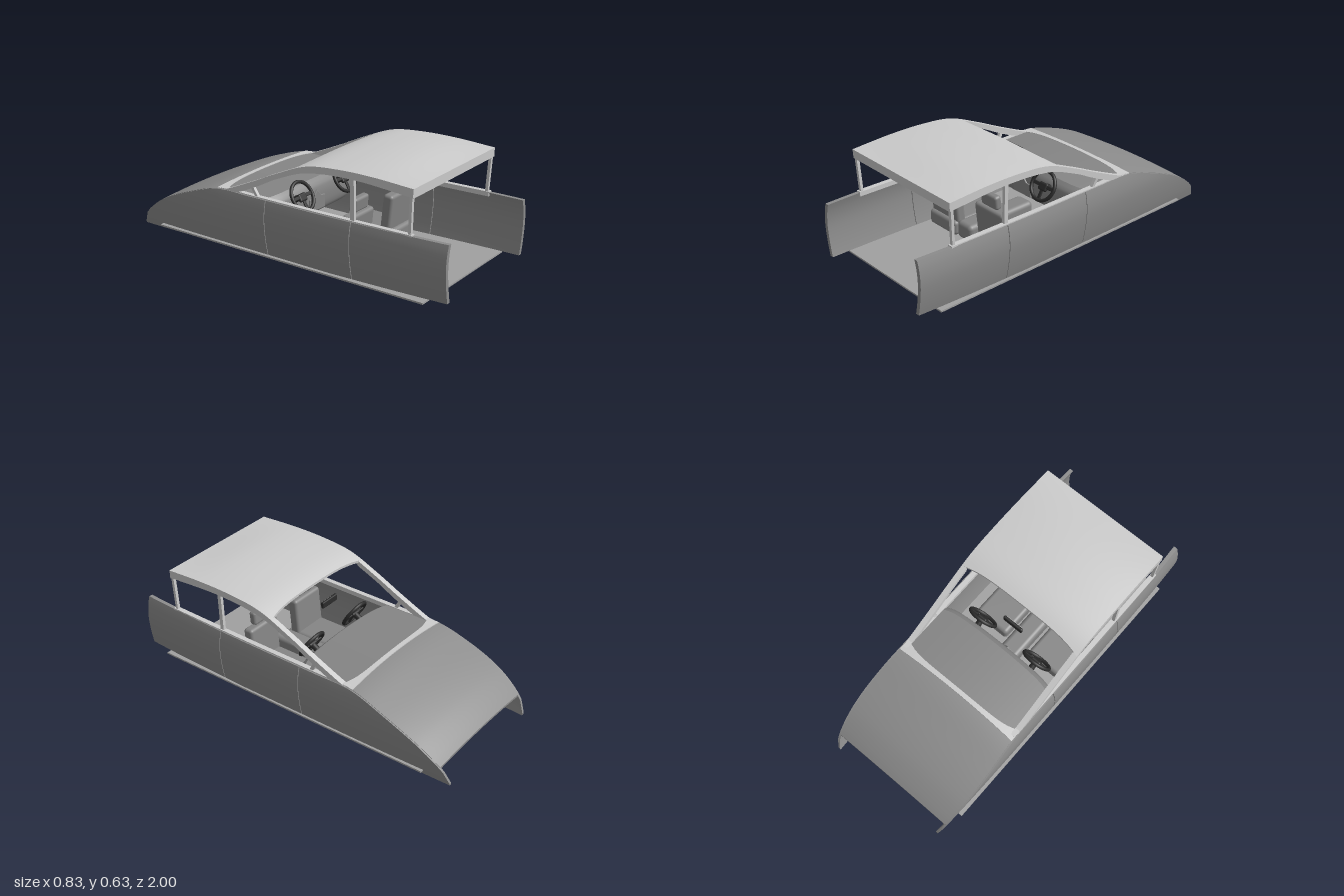
import * as THREE from 'three';
import { RoundedBoxGeometry } from 'three/addons/geometries/RoundedBoxGeometry.js';

const mat = (color) => new THREE.MeshStandardMaterial({ color, side: THREE.DoubleSide });
const light = mat(0xcccccc), body = mat(0x8c8c8c), soft = mat(0x858585), dark = mat(0x2c2c2c), floorMat = mat(0xa0a0a0);
const lerp = THREE.MathUtils.lerp;

// smooth curve y(t) through points sorted by t
function curve(pts) {
  const slope = (i) => {
    const a = pts[Math.max(i - 1, 0)], b = pts[Math.min(i + 1, pts.length - 1)];
    return (b[1] - a[1]) / (b[0] - a[0]);
  };
  return (t) => {
    let i = 0;
    while (i < pts.length - 2 && t > pts[i + 1][0]) i++;
    const [t0, y0] = pts[i], [t1, y1] = pts[i + 1], h = t1 - t0;
    const s = THREE.MathUtils.clamp((t - t0) / h, 0, 1), s2 = s * s, s3 = s2 * s;
    return (2 * s3 - 3 * s2 + 1) * y0 + (s3 - 2 * s2 + s) * h * slope(i)
      + (3 * s2 - 2 * s3) * y1 + (s3 - s2) * h * slope(i + 1);
  };
}

// box whose unit coordinates (u, v, w) are bent by a rule into a solid panel
function warp(name, material, nx, ny, nz, rule) {
  const g = new THREE.BoxGeometry(1, 1, 1, nx, ny, nz), p = g.attributes.position;
  for (let i = 0; i < p.count; i++) p.setXYZ(i, ...rule(p.getX(i) + 0.5, p.getY(i) + 0.5, p.getZ(i) + 0.5));
  g.computeVertexNormals();
  return named(new THREE.Mesh(g, material), name);
}
function named(o, name) { o.name = name; return o; }
function rounded(name, material, size, pos, r) {
  const m = named(new THREE.Mesh(new RoundedBoxGeometry(...size, 4, r), material), name);
  m.position.set(...pos);
  return m;
}

// body lines along z, and the bulge of the sides along y
const panelTop = curve([[-1, 0.015], [-0.985, 0.06], [-0.92, 0.128], [-0.8, 0.208], [-0.61, 0.288], [-0.42, 0.343], [-0.2, 0.347], [0.3, 0.35], [1, 0.362]]);
const bulge = curve([[0, 0.374], [0.08, 0.394], [0.17, 0.409], [0.25, 0.414], [0.32, 0.406], [0.37, 0.392]]);
const roofEdge = curve([[-0.42, 0.338], [-0.38, 0.345], [-0.18, 0.432], [-0.02, 0.508], [0.17, 0.585], [0.36, 0.609], [0.57, 0.613], [0.81, 0.602]]);
const frameLow = curve([[-0.42, 0.328], [-0.29, 0.35], [-0.15, 0.411], [-0.02, 0.478], [0.17, 0.55], [0.45, 0.575], [0.81, 0.557]]);
const crown = curve([[-0.42, 0.018], [0.1, 0.013], [0.55, 0.017], [0.81, 0]]);
const sideX = (y, z) => bulge(y) - 0.012 * z ** 4;

function sidePanels() {
  const g = named(new THREE.Group(), 'sideBody');
  // rear panel, door and front fender, with thin seams between
  for (const [name, z0, z1] of [['rearPanel', 0.452, 1], ['door', -0.087, 0.448], ['frontFender', -1, -0.091]]) {
    g.add(warp(name, body, 1, 12, 30, (u, v, w) => {
      const z = lerp(z0, z1, w), low = lerp(0.005, 0.056, (z + 1) / 2);
      const y = lerp(low, panelTop(z), v);
      const thick = z < -0.8 ? 0.014 : 0.022;
      return [sideX(y, z) - (1 - u) * thick, y, z];
    }));
  }
  // window sill
  g.add(warp('windowSill', light, 1, 1, 20, (u, v, w) => {
    const z = lerp(-0.4, 0.8, w);
    return [lerp(0.364, 0.392, u), panelTop(z) + lerp(-0.02, 0.006, v), z];
  }));
  // roof rail running down into the windscreen pillar
  g.add(warp('roofRail', light, 1, 2, 50, (u, v, w) => {
    const z = lerp(-0.42, 0.805, w);
    return [lerp(z < 0.1 ? 0.364 : 0.374, 0.395, u), lerp(frameLow(z), roofEdge(z), v), z];
  }));
  // window pillars: foot z, head z, width
  for (const [name, zFoot, zHead, width] of [['rearPillar', 0.782, 0.792, 0.016], ['middlePillar', 0.45, 0.452, 0.022], ['quarterPillar', -0.152, -0.185, 0.02]]) {
    const yHead = frameLow(zHead) + 0.01;
    g.add(warp(name, light, 1, 1, 1, (u, v, w) => [
      lerp(0.367, 0.385, u) + 0.008 * v, lerp(0.34, yHead, v), lerp(zFoot, zHead, v) + (w - 0.5) * width]));
  }
  return g;
}

function seat(x) {
  const g = named(new THREE.Group(), 'seat');
  g.add(rounded('seatCushion', soft, [0.22, 0.085, 0.33], [0, 0.1, 0.23], 0.022));
  const back = named(new THREE.Group(), 'seatBack');
  back.position.set(0, 0.06, 0.335);
  back.rotation.x = 0.1;
  back.add(rounded('backrest', soft, [0.22, 0.27, 0.06], [0, 0.142, 0], 0.018));
  back.add(rounded('headrest', soft, [0.122, 0.078, 0.042], [0, 0.322, 0], 0.015));
  for (const s of [-1, 1]) {
    const post = named(new THREE.Mesh(new THREE.CylinderGeometry(0.005, 0.005, 0.04, 10), dark), 'headrestPost');
    post.position.set(s * 0.035, 0.28, 0);
    back.add(post);
  }
  g.add(back);
  g.position.x = x;
  return g;
}

function steeringWheel(x) {
  const g = named(new THREE.Group(), 'steeringWheel');
  g.add(named(new THREE.Mesh(new THREE.TorusGeometry(0.081, 0.01, 10, 40), dark), 'wheelRim'));
  g.add(rounded('wheelHub', dark, [0.06, 0.045, 0.02], [0, -0.005, -0.004], 0.009));
  for (const a of [0, Math.PI, -Math.PI / 2]) {
    const spoke = rounded('wheelSpoke', dark, [0.06, 0.02, 0.01], [Math.cos(a) * 0.05, Math.sin(a) * 0.05, -0.003], 0.004);
    spoke.rotation.z = a;
    g.add(spoke);
  }
  const column = named(new THREE.Mesh(new THREE.CylinderGeometry(0.016, 0.02, 0.1, 16), dark), 'steeringColumn');
  column.rotation.x = Math.PI / 2;
  column.position.z = -0.055;
  g.add(column);
  g.position.set(x, 0.335, 0.005);
  g.rotation.x = -0.52;
  return g;
}

export function createModel() {
  const car = named(new THREE.Group(), 'car');

  // both sides
  const left = sidePanels(), right = sidePanels();
  right.scale.x = -1;
  car.add(left, right);

  // floor
  const floor = named(new THREE.Mesh(new THREE.BoxGeometry(0.8, 0.009, 1.73), floorMat), 'floor');
  floor.position.set(-0.004, 0.034, 0.015);
  car.add(floor);

  // bonnet
  car.add(warp('bonnet', body, 20, 1, 30, (u, v, w) => {
    const z = lerp(-0.95, -0.405, w), s = 2 * u - 1, y = panelTop(z);
    return [s * (sideX(y, z) - 0.008), y + 0.002 + 0.016 * (1 - s * s) - (1 - v) * 0.012, z];
  }));

  // roof skin, with a bowed front edge
  car.add(warp('roof', light, 24, 1, 30, (u, v, w) => {
    const s = 2 * u - 1, z = lerp(0.122 - 0.03 * s ** 4, 0.807, w);
    return [s * 0.395, roofEdge(z) + crown(z) * (1 - s * s) - (1 - v) * 0.014, z];
  }));
  const header = named(new THREE.Mesh(new THREE.BoxGeometry(0.786, 0.047, 0.014), light), 'rearHeader');
  header.position.set(0, 0.577, 0.799);
  car.add(header);

  // strip below the windscreen
  car.add(warp('cowl', light, 24, 1, 4, (u, v, w) => {
    const s = 2 * u - 1, z = lerp(-0.425 + 0.01 * (1 - s * s), -0.39 + 0.04 * s ** 6, w);
    return [s * 0.393, 0.349 + 0.018 * (1 - s * s) + 0.02 * (z + 0.42) - (1 - v) * 0.014, z];
  }));

  // dashboard: rounded section carried across the car
  const dashFace = curve([[0, -0.1], [0.12, -0.06], [0.5, -0.045], [0.85, -0.055], [1, -0.085]]);
  car.add(warp('dashboard', soft, 24, 14, 12, (u, v, w) => {
    const s = 2 * u - 1, end = Math.abs(s) ** 8;
    const z = lerp(-0.395, dashFace(v) + 0.012 * (1 - s * s) - 0.02 * end, w);
    const top = 0.35 + 0.015 * (1 - s * s);
    return [s * 0.367, lerp(0.157 + 0.02 * end, top, v), z];
  }));
  const cluster = new THREE.Shape([[-0.065, 0.2], [0.065, 0.2], [0.065, 0.268], [0.035, 0.272], [0, 0.308], [-0.035, 0.272], [-0.065, 0.268]].map((p) => new THREE.Vector2(...p)));
  const stack = named(new THREE.Mesh(new THREE.ExtrudeGeometry(cluster, { depth: 0.03, bevelSize: 0.004, bevelThickness: 0.004, bevelSegments: 2 }), soft), 'centreStack');
  stack.position.set(-0.03, 0, -0.06);
  car.add(stack);
  car.add(rounded('centreConsole', soft, [0.116, 0.1, 0.45], [-0.017, 0.12, 0.175], 0.026));

  // seats and wheels on both sides
  for (const x of [-0.205, 0.175]) car.add(seat(x), steeringWheel(x));

  // interior mirror
  const mirror = named(new THREE.Group(), 'mirror');
  mirror.add(rounded('mirrorShell', dark, [0.124, 0.038, 0.018], [0, 0, 0], 0.006));
  mirror.add(rounded('mirrorFace', light, [0.106, 0.03, 0.004], [0, 0, 0.009], 0.001));
  mirror.position.set(-0.014, 0.498, 0.033);
  car.add(mirror);
  return car;
}
